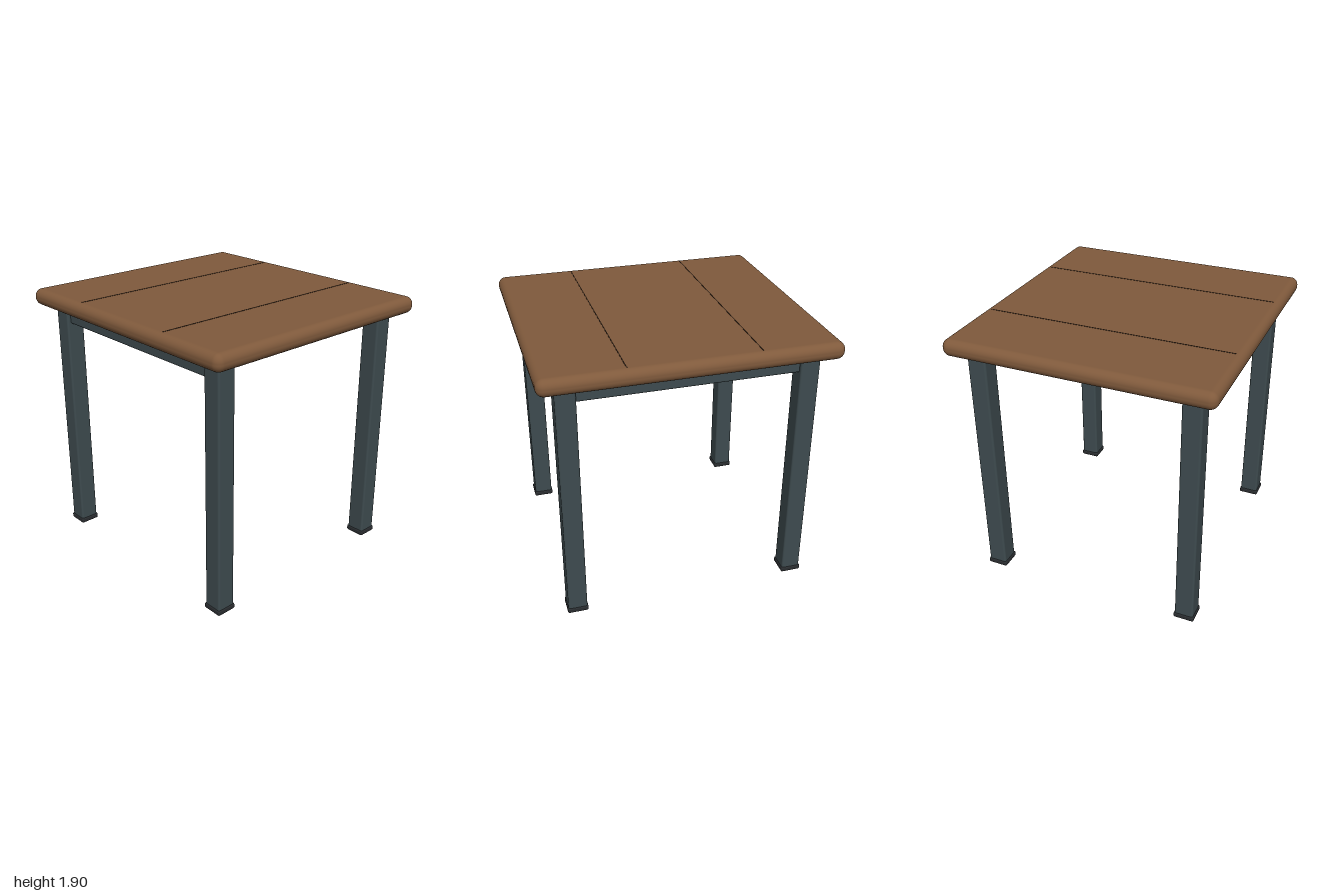
import * as THREE from 'three';
import { RoundedBoxGeometry } from 'three/addons/geometries/RoundedBoxGeometry.js';

const wood = new THREE.MeshStandardMaterial({ color: 0x805a3c });
const darkWood = new THREE.MeshStandardMaterial({ color: 0x734a2f });
const groove = new THREE.MeshStandardMaterial({ color: 0x2e1f14 });
const metal = new THREE.MeshStandardMaterial({ color: 0x3e4b4f });
const rubber = new THREE.MeshStandardMaterial({ color: 0x2a2d30 });

// Rounded block given by its size and the height of its underside
function block(name, [w, h, d], radius, material, [x, bottom, z]) {
  const mesh = new THREE.Mesh(new RoundedBoxGeometry(w, h, d, 4, radius), material);
  mesh.name = name;
  mesh.position.set(x, bottom + h / 2, z);
  return mesh;
}

export function createModel() {
  const table = new THREE.Group();
  table.name = 'table';

  // Thick rounded top over a thinner inset panel
  table.add(block('tableTop', [2, 0.12, 1.87], 0.055, wood, [0, 1.78, 0]));
  table.add(block('underPanel', [1.75, 0.045, 1.63], 0.015, darkWood, [0, 1.742, 0]));

  // Two board seams along the top
  for (const side of [-1, 1]) {
    const seam = new THREE.Mesh(new THREE.BoxGeometry(0.006, 0.004, 1.76), groove);
    seam.name = 'boardSeam';
    seam.position.set(side * 0.44, 1.9, 0);
    table.add(seam);
  }

  for (const z of [-0.75, 0.75]) {
    // Rail joining the two legs of this side
    table.add(block('rail', [1.56, 0.085, 0.08], 0.015, metal, [0, 1.66, z]));

    // Square legs with foot caps
    for (const x of [-0.812, 0.812]) {
      table.add(block('leg', [0.135, 1.73, 0.135], 0.014, metal, [x, 0.02, z]));
      table.add(block('footCap', [0.148, 0.04, 0.148], 0.012, rubber, [x, 0, z]));
    }
  }
  return table;
}
